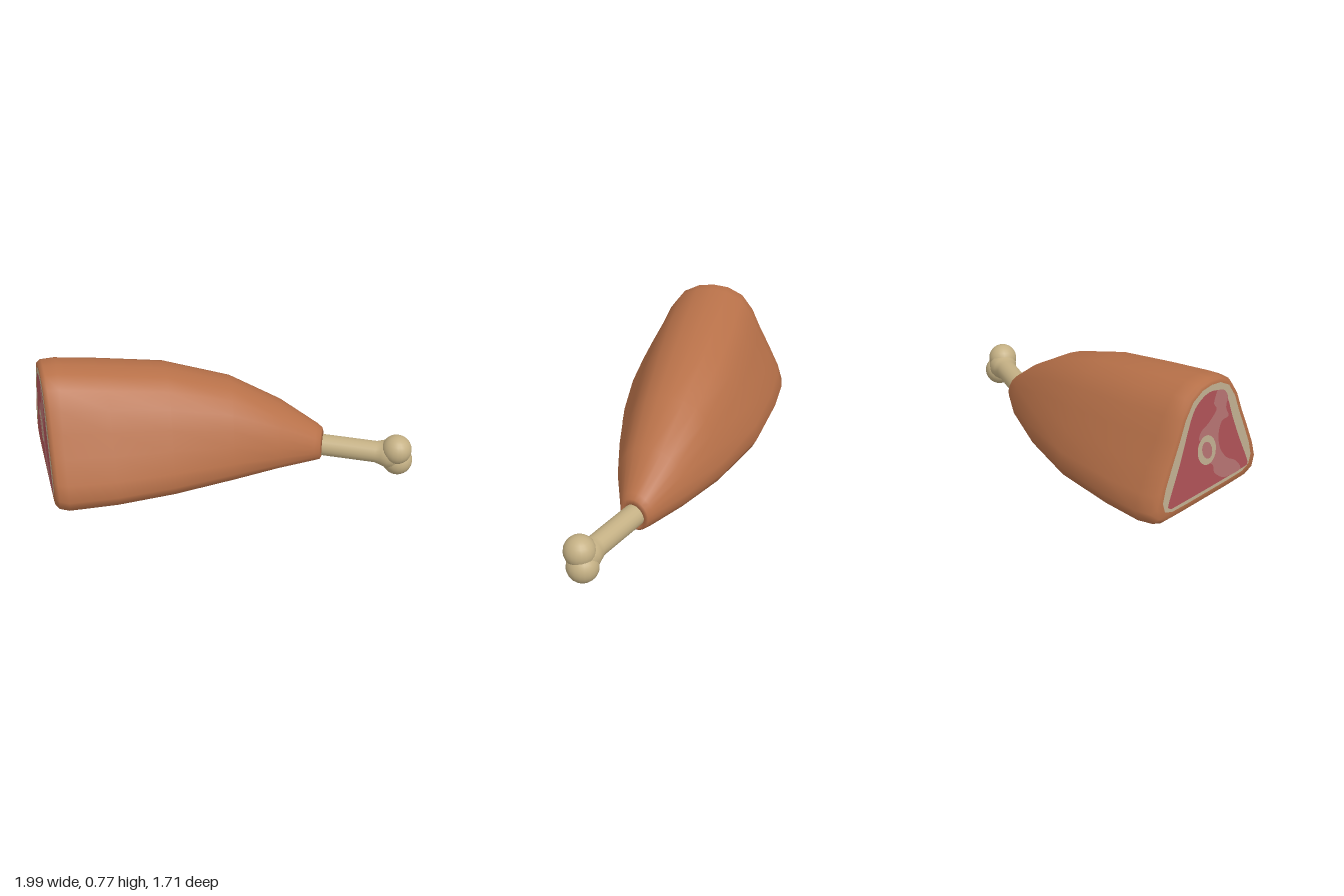
import * as THREE from 'three';

const paint = (name, color, side = THREE.FrontSide) => {
  const m = new THREE.MeshStandardMaterial({ color, side });
  m.name = name;
  return m;
};

// Half of the rounded-triangle cross-section: [sideways -1..1, height 0..1]
const HALF = [[0, 0], [0.45, 0], [0.8, 0.005], [0.95, 0.04], [1, 0.13], [0.94, 0.26], [0.8, 0.45],
  [0.66, 0.63], [0.55, 0.79], [0.4, 0.92], [0.2, 0.985], [0, 1]];
const LAST = HALF.length - 1;
const COUNT = LAST * 2;

// Sections from cut face to shank: left x,z, right x,z, bottom, top, roundness
const SECTIONS = [
  [-0.955, 0.365, -0.355, 0.832, 0.1, 0.73, 0],
  [-0.988, 0.337, -0.325, 0.853, 0.07, 0.752, 0],
  [-1.0, 0.3, -0.295, 0.85, 0.05, 0.765, 0],
  [-0.95, 0.22, -0.25, 0.82, 0.04, 0.768, 0],
  [-0.79, 0.04, -0.07, 0.61, 0.034, 0.735, 0.08],
  [-0.5, -0.23, 0.12, 0.34, 0.03, 0.685, 0.2],
  [-0.14, -0.45, 0.3, 0.03, 0.03, 0.575, 0.4],
  [0.17, -0.58, 0.43, -0.22, 0.034, 0.415, 0.7],
  [0.42, -0.635, 0.525, -0.45, 0.038, 0.262, 1],
  [0.452, -0.637, 0.54, -0.48, 0.045, 0.238, 1],
  [0.47, -0.624, 0.538, -0.503, 0.062, 0.212, 1],
  [0.452, -0.585, 0.498, -0.502, 0.08, 0.19, 1],
];

// Points of one closed cross-section, counter-clockwise seen from the cut face
function ring([lx, lz, rx, rz, bottom, top, round]) {
  const pts = [];
  for (let j = 0; j < COUNT; j++) {
    const mirrored = j > LAST;
    const [s, h] = HALF[mirrored ? COUNT - j : j];
    const a = (Math.PI * j) / LAST;
    const side = THREE.MathUtils.lerp(mirrored ? -s : s, Math.sin(a), round);
    const up = THREE.MathUtils.lerp(h, 0.5 - 0.5 * Math.cos(a), round);
    const k = (side + 1) / 2;
    pts.push(lx + (rx - lx) * k, bottom + (top - bottom) * up, lz + (rz - lz) * k);
  }
  return pts;
}

function geometryFrom(positions, index) {
  const g = new THREE.BufferGeometry();
  g.setAttribute('position', new THREE.Float32BufferAttribute(positions, 3));
  g.setIndex(index);
  g.computeVertexNormals();
  return g;
}

function loft(sections) {
  const index = [];
  for (let i = 0; i < sections.length - 1; i++) {
    for (let j = 0; j < COUNT; j++) {
      const a = i * COUNT + j, b = i * COUNT + ((j + 1) % COUNT);
      index.push(a, a + COUNT, b, b, a + COUNT, b + COUNT);
    }
  }
  return geometryFrom(sections.flatMap(ring), index);
}

// Flat cap filling the first section
function cap(section) {
  const [lx, lz, rx, rz, bottom, top] = section;
  const index = [];
  for (let j = 0; j < COUNT; j++) index.push(COUNT, j, (j + 1) % COUNT);
  return geometryFrom([...ring(section), (lx + rx) / 2, (bottom + top) / 2, (lz + rz) / 2], index);
}

export function createModel() {
  const model = new THREE.Group();
  const skin = paint('roasted skin', 0xb87149);
  const fat = paint('fat', 0xc2b092);
  const meat = paint('red meat', 0xb05358);
  const marbling = paint('pink marbling', 0xb87473);
  const boneColor = paint('bone', 0xc4b084);

  const add = (parent, name, geometry, material) => {
    const mesh = new THREE.Mesh(geometry, material);
    mesh.name = name;
    parent.add(mesh);
    return mesh;
  };

  // Body of the joint
  add(model, 'hamBody', loft(SECTIONS), skin);
  add(model, 'fatRim', cap(SECTIONS[0]), fat);

  // Flat details on the cut face, in the plane of the cut
  const cut = new THREE.Group();
  cut.name = 'cutFace';
  cut.position.set(-0.655, 0, 0.5985);
  cut.rotation.y = -Math.atan2(0.467, 0.6);
  model.add(cut);
  const slope = Math.cos(cut.rotation.y);
  const toFace = ([x, y]) => new THREE.Vector2((x + 0.655) / slope, y);
  const plate = (name, points, material, level) => {
    const curve = new THREE.SplineCurve([...points, points[0]].map(toFace));
    const mesh = add(cut, name, new THREE.ShapeGeometry(new THREE.Shape(curve.getPoints(points.length * 3))), material);
    mesh.position.z = level * 0.002;
  };
  plate('meat', [[-0.9, 0.125], [-0.65, 0.122], [-0.4, 0.125], [-0.38, 0.135], [-0.385, 0.17], [-0.445, 0.32],
    [-0.5, 0.47], [-0.545, 0.61], [-0.59, 0.67], [-0.67, 0.695], [-0.745, 0.66], [-0.79, 0.58], [-0.85, 0.37],
    [-0.918, 0.17], [-0.917, 0.138]], meat, 1);
  plate('marblingBand', [[-0.62, 0.685], [-0.64, 0.62], [-0.62, 0.575], [-0.67, 0.52], [-0.72, 0.49], [-0.73, 0.44],
    [-0.66, 0.42], [-0.66, 0.29], [-0.63, 0.25], [-0.62, 0.2], [-0.56, 0.14], [-0.51, 0.127], [-0.43, 0.128],
    [-0.47, 0.2], [-0.535, 0.25], [-0.585, 0.33], [-0.6, 0.42], [-0.58, 0.49], [-0.535, 0.5], [-0.555, 0.56],
    [-0.545, 0.62], [-0.575, 0.67]], marbling, 2);
  const oval = (rx, ry) => Array.from({ length: 10 }, (_, i) => {
    const a = (i / 10) * Math.PI * 2;
    return [-0.678 + rx * Math.cos(a) - 0.015 * Math.sin(a), 0.363 + ry * Math.sin(a)];
  });
  plate('boneRing', oval(0.061, 0.091), fat, 3);
  plate('marrow', oval(0.032, 0.055), marbling, 4);

  // Shank bone: a shaft that flares into two stacked knobs
  const bone = new THREE.Group();
  bone.name = 'bone';
  model.add(bone);
  const start = new THREE.Vector3(0.44, 0.135, -0.527);
  const end = new THREE.Vector3(0.9, 0.132, -0.752);
  const length = start.distanceTo(end);
  const profile = [[0.064, 0], [0.064, length - 0.12], [0.075, length - 0.085], [0.088, length - 0.045],
    [0.08, length], [0.05, length + 0.04], [0, length + 0.05]].map(([r, y]) => new THREE.Vector2(r, y));
  const shaft = add(bone, 'boneShaft', new THREE.LatheGeometry(profile, 20), boneColor);
  shaft.position.copy(start);
  shaft.quaternion.setFromUnitVectors(new THREE.Vector3(0, 1, 0), end.clone().sub(start).normalize());
  for (const [name, r, x, y, z] of [['upperKnob', 0.088, 0.905, 0.174, -0.742], ['lowerKnob', 0.089, 0.902, 0.089, -0.766]]) {
    add(bone, name, new THREE.SphereGeometry(r, 20, 14), boneColor).position.set(x, y, z);
  }
  return model;
}
